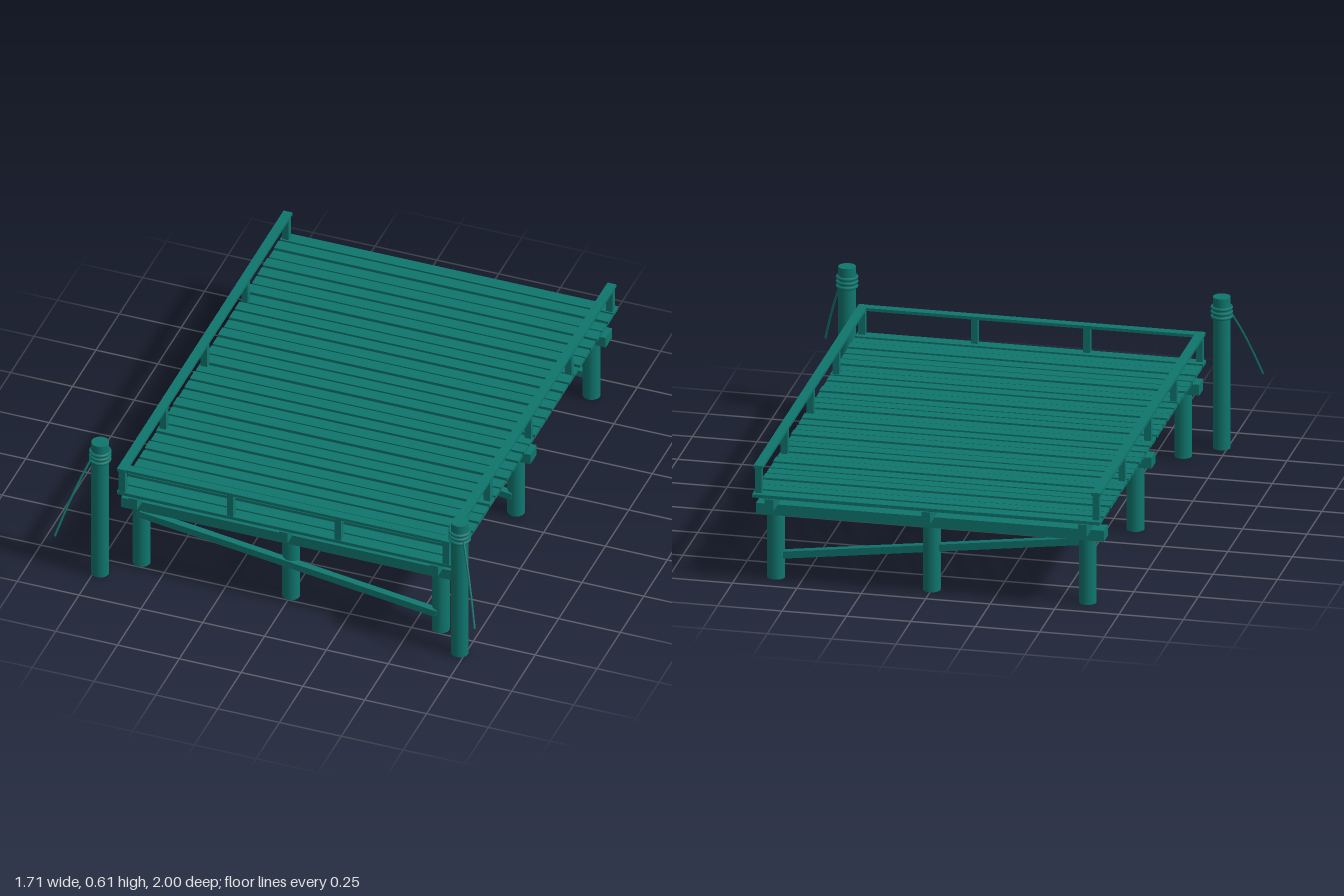
import * as THREE from 'three';

export function createModel() {
  const root = new THREE.Group();
  const wood = new THREE.MeshStandardMaterial({ color: 0x0f766e });

  const add = (name, geometry, x, y, z) => {
    const mesh = new THREE.Mesh(geometry, wood);
    mesh.name = name;
    mesh.position.set(x, y, z);
    root.add(mesh);
    return mesh;
  };
  const box = (name, w, h, d, x, y, z) => add(name, new THREE.BoxGeometry(w, h, d), x, y, z);
  const post = (name, r, h, x, z) => add(name, new THREE.CylinderGeometry(r, r, h, 16), x, h / 2, z);

  // Three rows of piles, each with a cap beam and a slanted brace
  const rows = [
    { z: 0.715, braceZ: 0.742 },
    { z: -0.09, braceZ: -0.065 },
    { z: -0.895, braceZ: -0.895 },
  ];
  for (const { z, braceZ } of rows) {
    for (const x of [-0.605, 0, 0.605]) post('pile', 0.034, 0.27, x, z);
    box('capBeam', 1.35, 0.044, 0.068, 0, 0.283, z);
    const brace = box('brace', 1.21, 0.028, 0.028, 0, 0.17, braceZ);
    brace.rotation.z = -Math.atan2(0.158, 1.2);
  }

  // Stringers running the length of the deck
  for (const x of [-0.608, 0, 0.608]) box('stringer', 0.034, 0.046, 1.8, x, 0.327, -0.1);

  // Deck planks with narrow gaps and slight unevenness
  const count = 30, pitch = 1.8 / count;
  for (let i = 0; i < count; i++) {
    const uneven = 0.002 * Math.sin(i * 2.4);
    box('deckPlank', 1.35 + uneven, 0.013, pitch - 0.011, 0, 0.357 + uneven, -1 + pitch * (i + 0.5));
  }

  // Side railings
  for (const s of [-1, 1]) {
    for (let i = 0; i < 5; i++) box('railPost', 0.026, 0.105, 0.026, s * 0.655, 0.412, 0.78 - i * 0.436);
    box('sideRail', 0.036, 0.012, 1.78, s * 0.655, 0.469, -0.09);
  }

  // Front railing
  for (const x of [-0.218, 0.218]) box('railPost', 0.026, 0.105, 0.026, x, 0.412, 0.78);
  box('frontRail', 1.34, 0.012, 0.036, 0, 0.469, 0.78);

  // Mooring posts with rope coils and a loose rope tail
  for (const s of [-1, 1]) {
    post('mooringPost', 0.034, 0.61, s * 0.727, 0.835);
    for (let i = 0; i < 3; i++) {
      const coil = add('ropeCoil', new THREE.TorusGeometry(0.037, 0.0065, 6, 20), s * 0.727, 0.532 + i * 0.018, 0.835);
      coil.rotation.x = Math.PI / 2;
    }
    const path = new THREE.CatmullRomCurve3([
      new THREE.Vector3(s * 0.752, 0.545, 0.86),
      new THREE.Vector3(s * 0.781, 0.47, 0.9),
      new THREE.Vector3(s * 0.813, 0.375, 0.945),
      new THREE.Vector3(s * 0.849, 0.25, 0.998),
    ]);
    add('mooringRope', new THREE.TubeGeometry(path, 16, 0.0045, 6), 0, 0, 0);
  }

  return root;
}
